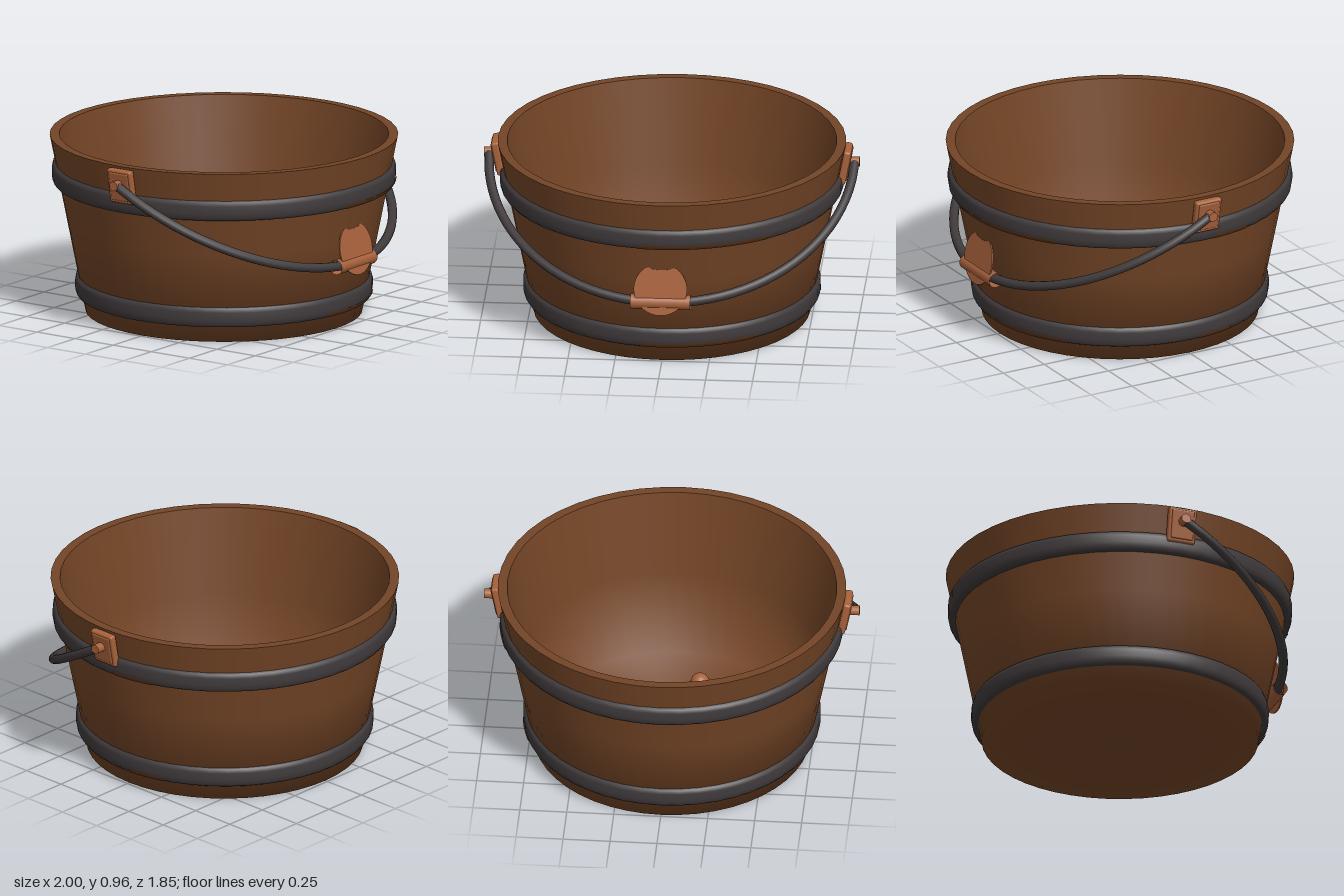
import * as THREE from 'three';
import { RoundedBoxGeometry } from 'three/addons/geometries/RoundedBoxGeometry.js';

const mat = (name, color, side = THREE.FrontSide) => {
  const m = new THREE.MeshStandardMaterial({ color, side });
  m.name = name;
  return m;
};
const SEG = 48;
const HEIGHT = 0.96, R_BOTTOM = 0.735, R_TOP = 0.925;
const wallRadius = (y) => R_BOTTOM + (R_TOP - R_BOTTOM) * y / HEIGHT;

export function createModel() {
  const wood = mat('brown wood', 0x744526);
  const iron = mat('dark iron', 0x403a3b);
  const rust = mat('rust', 0x5c3519, THREE.DoubleSide);
  const copper = mat('copper', 0xa9623c);
  const copperSheet = mat('copper sheet', 0xa9623c, THREE.DoubleSide);

  const model = new THREE.Group();
  const add = (name, geometry, material, parent = model) => {
    const mesh = new THREE.Mesh(geometry, material);
    mesh.name = name;
    parent.add(mesh);
    return mesh;
  };
  const lathe = (points, ...phi) => new THREE.LatheGeometry(
    points.map(([r, y]) => new THREE.Vector2(r, y)), phi.length ? 16 : SEG, ...phi);

  // Tub: outer shell, rim and inner shell, with crisp edges at the rim
  add('outerShell', lathe([[0, 0], [R_BOTTOM, 0], [wallRadius(0.5), 0.5], [R_TOP, HEIGHT]]), wood);
  add('rim', lathe([[R_TOP, HEIGHT], [0.875, HEIGHT]]), wood);
  add('innerShell', lathe([[0.875, HEIGHT], [0.785, 0.5], [0.695, 0.05], [0, 0.05]]), wood);

  // Iron hoops with rust creeping up from the lower edge
  const addHoop = (name, y0, y1, r) => {
    const group = new THREE.Group();
    group.name = name;
    model.add(group);
    add('hoopBand', lathe([
      [wallRadius(y0) - 0.01, y0], [r - 0.014, y0], [r - 0.004, y0 + 0.015], [r, y0 + 0.04],
      [r, y1 - 0.03], [r - 0.005, y1 - 0.01], [wallRadius(y1) - 0.01, y1],
    ]), iron, group);
    for (const [start, end] of [[-0.14, 0.66], [1.63, 1.89]]) {
      add('rustPatch', lathe([
        [r - 0.012, y0 - 0.001], [r - 0.001, y0 + 0.014], [r + 0.001, y0 + 0.024],
      ], start, end - start), rust, group);
    }
  };
  addHoop('upperHoop', 0.70, 0.81, 0.914);
  addHoop('lowerHoop', 0.09, 0.20, 0.79);

  // Side brackets with pivot pins
  for (const side of [-1, 1]) {
    const bracket = new THREE.Group();
    bracket.name = side > 0 ? 'leftBracket' : 'rightBracket';
    model.add(bracket);
    const plate = add('bracketPlate', new RoundedBoxGeometry(0.04, 0.19, 0.155, 2, 0.012), copper, bracket);
    plate.position.set(side * 0.922, 0.853, 0);
    plate.rotation.z = -side * 0.19;
    const boss = add('bracketFace', new RoundedBoxGeometry(0.02, 0.16, 0.125, 2, 0.008), copper, bracket);
    boss.position.set(side * 0.938, 0.853, 0);
    boss.rotation.z = -side * 0.19;
    const pin = add('pivotPin', new THREE.CylinderGeometry(0.026, 0.026, 0.09, 16), copper, bracket);
    pin.rotation.z = Math.PI / 2;
    pin.position.set(side * 0.954, 0.866, 0);
  }

  // Half-round bail handle, swung down towards the front
  const arc = [];
  for (let i = 0; i <= 24; i++) {
    const t = Math.PI * i / 24;
    arc.push(new THREE.Vector3(0.972 * Math.cos(t), 0.866 - 0.49 * Math.sin(t), 0.85 * Math.sin(t)));
  }
  add('handle', new THREE.TubeGeometry(new THREE.CatmullRomCurve3(arc), 48, 0.025, 10), iron);

  // Grip sleeve around the handle
  const grip = add('gripSleeve', new THREE.CylinderGeometry(0.04, 0.04, 0.32, 20, 1, true), copperSheet);
  grip.rotation.z = Math.PI / 2;
  grip.position.set(0, 0.38, 0.85);

  // Round tag with a scalloped top edge
  const tagShape = new THREE.Shape();
  tagShape.absarc(0, 0, 0.142, Math.PI * 0.73, Math.PI * 2.27, false);
  tagShape.quadraticCurveTo(0.07, 0.128, 0.05, 0.11);
  tagShape.quadraticCurveTo(0, 0.102, -0.05, 0.11);
  tagShape.quadraticCurveTo(-0.07, 0.128, -0.094, 0.106);
  const tag = add('handleTag', new THREE.ExtrudeGeometry(tagShape,
    { depth: 0.008, bevelEnabled: false, curveSegments: 24 }), copper);
  tag.position.set(0, 0.456, 0.859);
  tag.rotation.x = -0.185;

  // Loose balls on the floor of the tub
  for (const [x, z] of [[-0.1, -0.28], [0.15, -0.05], [-0.1, 0.01], [0.17, 0.13], [-0.12, 0.36]]) {
    add('ball', new THREE.SphereGeometry(0.05, 20, 14), copper).position.set(x, 0.1, z);
  }
  return model;
}
